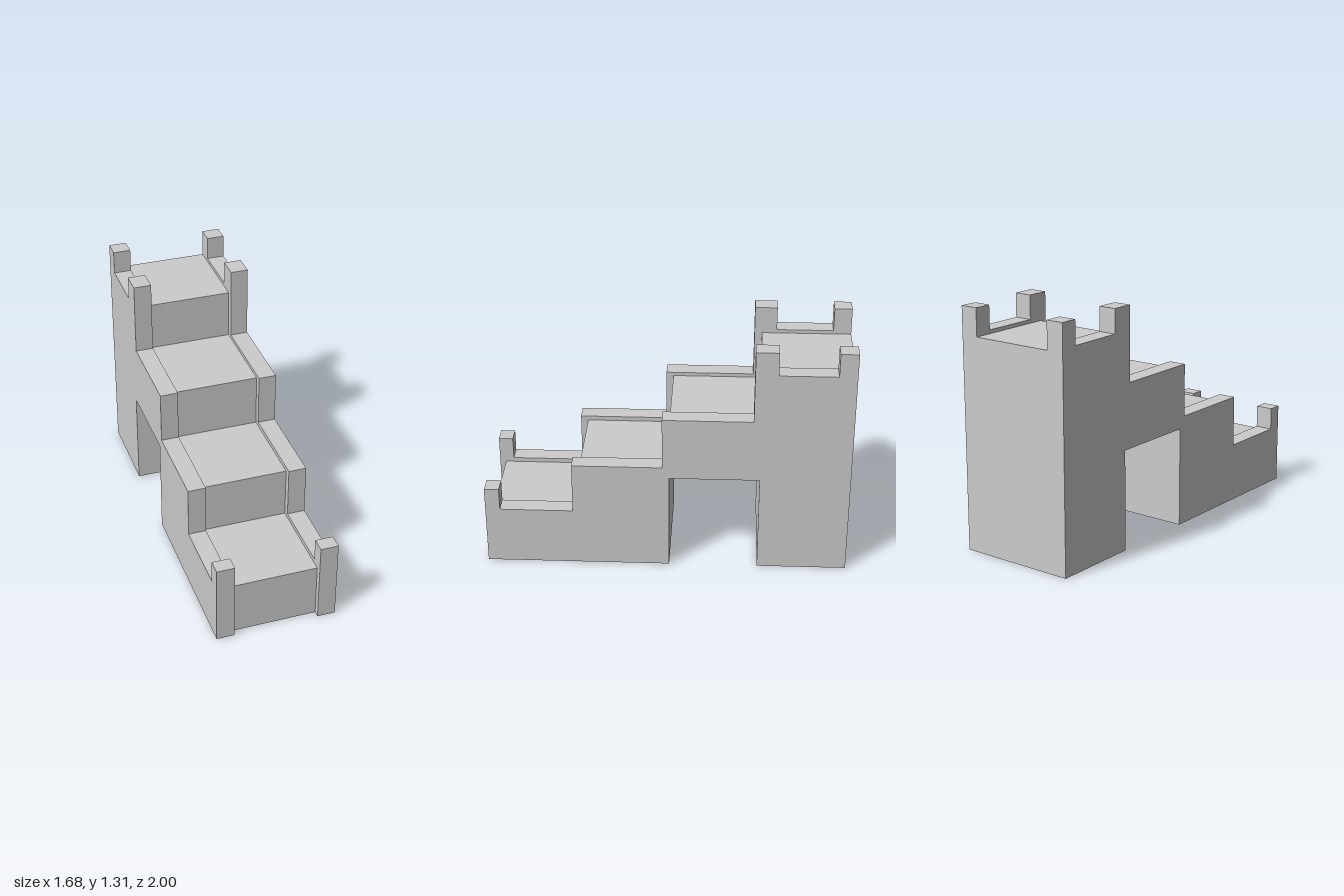
import * as THREE from 'three';

const LENGTH = 1.98, WIDTH = 0.66, WALL = 0.098;
const GATE = { start: 0.488, end: 0.973, height: 0.55 };

// Side profile (distance from the back, height), standing on two feet around the gateway
function makeSlab(name, upper, end, thickness, offset, material) {
  const points = [
    [0, 0], [GATE.start, 0], [GATE.start, GATE.height],
    [GATE.end, GATE.height], [GATE.end, 0], [end, 0], ...upper,
  ].map(([s, y]) => new THREE.Vector2(s - LENGTH / 2, y));
  const geometry = new THREE.ExtrudeGeometry(new THREE.Shape(points), {
    depth: thickness, bevelEnabled: false,
  });
  geometry.translate(0, 0, offset - thickness / 2);
  const mesh = new THREE.Mesh(geometry, material);
  mesh.name = name;
  return mesh;
}

export function createModel() {
  const model = new THREE.Group();
  model.name = 'battlementedStaircase';
  const material = new THREE.MeshStandardMaterial({ color: 0xcccccc, flatShading: true });

  const stair = new THREE.Group();
  stair.name = 'staircase';
  stair.rotation.y = -0.958;
  model.add(stair);

  // Stepped parapet outline from the front merlon up to the rear tower merlons
  const parapet = [
    [LENGTH, 0.455], [1.9, 0.455], [1.9, 0.33],
    [1.5, 0.33], [1.5, 0.615], [1.012, 0.615], [1.012, 0.905],
    [0.528, 0.905], [0.528, 1.31], [0.406, 1.31], [0.406, 1.18],
    [0.097, 1.18], [0.097, 1.31], [0, 1.31],
  ];
  for (const [name, side] of [['leftWall', -1], ['rightWall', 1]]) {
    stair.add(makeSlab(name, parapet, LENGTH, WALL, side * (WIDTH - WALL) / 2, material));
  }

  // Four broad treads between the walls
  const steps = [];
  const ends = [1.945, 1.46, 0.973, 0.488], heights = [0.305, 0.59, 0.885, 1.16];
  ends.forEach((end, i) => {
    steps.push([end, heights[i]], [ends[i + 1] ?? 0, heights[i]]);
  });
  stair.add(makeSlab('steps', steps, ends[0], WIDTH - 2 * WALL, 0, material));

  return model;
}
